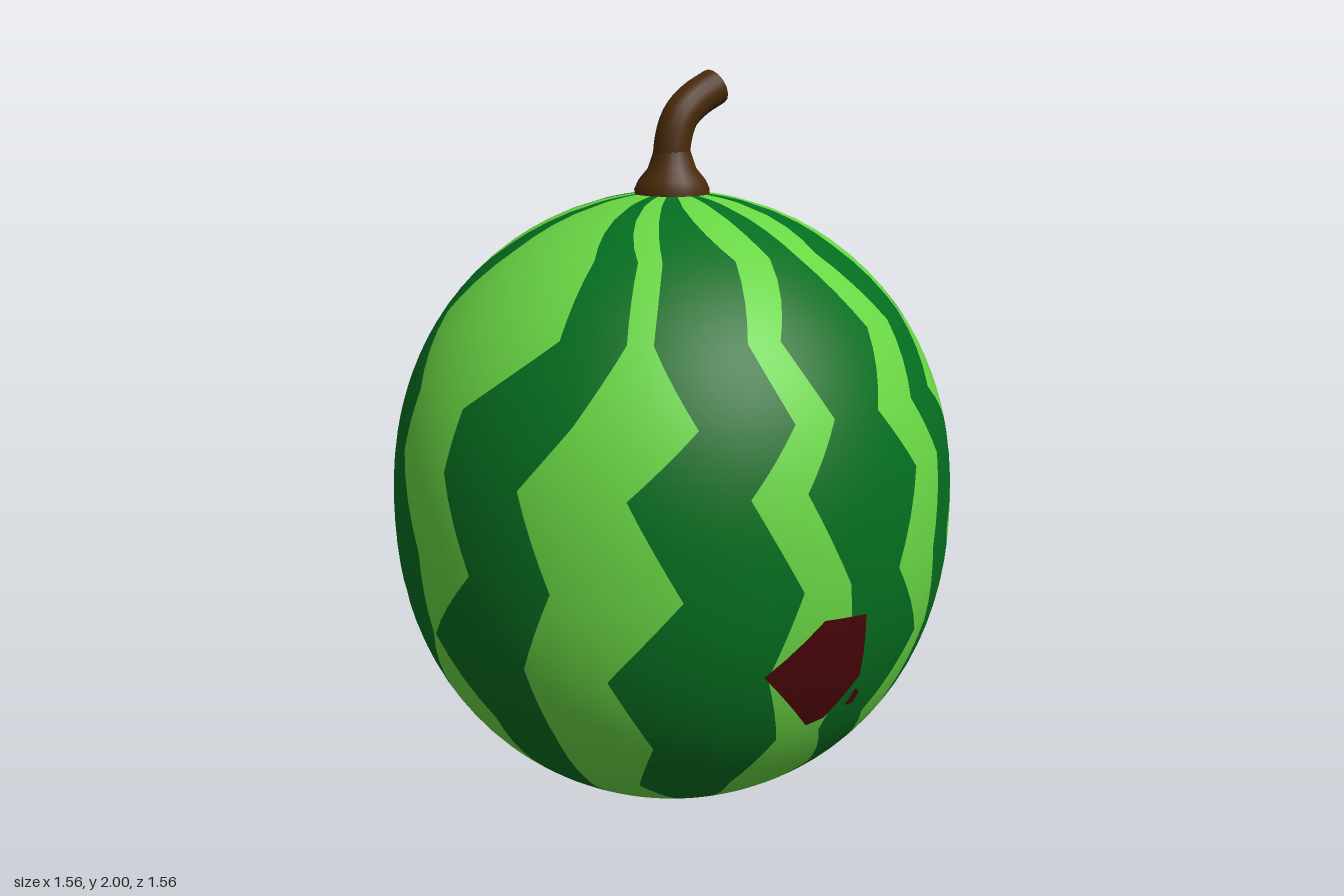
import * as THREE from 'three';
import { mergeGeometries } from 'three/addons/utils/BufferGeometryUtils.js';

// Slightly squared ellipsoid: radius, half height, centre height, squareness
const R = 0.778, H = 0.854, CY = 0.83, P = 2.2;
const radiusAt = (y) => R * Math.sqrt(Math.max(0, 1 - Math.abs((y - CY) / H) ** P));

// Heights of the zigzag corners, from the stem down to the base
const rows = [1.683, 1.66, 1.55, 1.38, 1.2, 1.04, 0.8, 0.58, 0.37, 0.2, 0.09, 0.03];

// Left and right edge of each stripe in degrees around the fruit (0 = front, 90 = +x).
// Five stripes make one half; the other half is the same turned by 180 degrees.
const half = [
  { l: [-8, -8, -4, -13, -5, -13, -4, -2, -4, 4, -2, 3], r: [6, 6, 8, 15, 7, 16, 9, 20, 10, 19, 10, 3] },
  { l: [28, 28, 19, 27, 20, 27, 23, 26, 22, 32, 34, 42], r: [46, 46, 40, 42, 32, 47, 34, 50, 40, 50, 48, 42] },
  { l: [64, 64, 60, 46, 58, 56, 65, 52, 60, 52, 64, 72], r: [74, 74, 74, 65, 76, 75, 85, 86, 78, 68, 78, 72] },
  { l: [108, 108, 116, 116, 96, 94, 102, 87, 99, 98, 102, 110], r: [120, 120, 131, 132, 123, 113, 120, 113, 116, 117, 116, 110] },
  { l: [134, 134, 139, 138, 147, 134, 144, 130, 138, 133, 143, 152], r: [150, 150, 163, 159, 166, 156, 166, 160, 165, 158, 158, 152] },
];
const turn = (s, deg) => ({ l: s.l.map((a) => a + deg), r: s.r.map((a) => a + deg) });
const stripes = [...half, ...half.map((s) => turn(s, 180))];
// One stripe on the +x side stops short of the stem
stripes[2].l.splice(0, 2, 74, 74);

// Point and smooth normal on the rind
function rind(angle, y, lift, pos, nor) {
  const r = radiusAt(y), u = (y - CY) / H;
  const out = 2 * r / R ** 2, up = P * Math.sign(u) * Math.abs(u) ** (P - 1) / H;
  const n = new THREE.Vector3(out * Math.sin(angle), up, out * Math.cos(angle)).normalize();
  pos.push(r * Math.sin(angle) + n.x * lift, y + n.y * lift, r * Math.cos(angle) + n.z * lift);
  nor.push(n.x, n.y, n.z);
}

function surface(pos, nor, index) {
  const g = new THREE.BufferGeometry();
  g.setAttribute('position', new THREE.Float32BufferAttribute(pos, 3));
  g.setAttribute('normal', new THREE.Float32BufferAttribute(nor, 3));
  g.setIndex(index);
  return g;
}

// Band of rind between two zigzag edges
function band(left, right) {
  const pos = [], nor = [], index = [], cols = 6, sub = 4;
  const n = (rows.length - 1) * sub;
  for (let j = 0; j <= n; j++) {
    const k = Math.min(Math.floor(j / sub), rows.length - 2), t = j / sub - k;
    const mix = (a) => THREE.MathUtils.lerp(a[k], a[k + 1], t);
    for (let i = 0; i <= cols; i++) {
      const angle = THREE.MathUtils.lerp(mix(left), mix(right), i / cols);
      rind(THREE.MathUtils.degToRad(angle), mix(rows), 0, pos, nor);
    }
  }
  for (let j = 0; j < n; j++) for (let i = 0; i < cols; i++) {
    const a = j * (cols + 1) + i, c = a + cols + 1;
    index.push(a, c, a + 1, a + 1, c, c + 1);
  }
  return surface(pos, nor, index);
}

// Thin patch that follows the rind; outline in front-view x, y, counterclockwise
function patch(outline, lift) {
  const pos = [], nor = [], index = [], rings = 5;
  const pts = [];
  outline.forEach(([x, y], i) => {
    const [u, v] = outline[(i + 1) % outline.length];
    for (let k = 0; k < 3; k++) pts.push([x + (u - x) * k / 3, y + (v - y) * k / 3]);
  });
  const m = pts.length;
  const cx = pts.reduce((s, p) => s + p[0], 0) / m, cy = pts.reduce((s, p) => s + p[1], 0) / m;
  for (let k = 0; k <= rings; k++) for (const p of pts) {
    const x = cx + (p[0] - cx) * k / rings, y = cy + (p[1] - cy) * k / rings;
    rind(Math.asin(x / radiusAt(y)), y, lift, pos, nor);
  }
  for (let k = 0; k < rings; k++) for (let i = 0; i < m; i++) {
    const a = k * m + i, b = k * m + (i + 1) % m;
    if (k > 0) index.push(a, a + m, b);
    index.push(b, a + m, b + m);
  }
  return surface(pos, nor, index);
}

export function createModel() {
  const material = (name, color) => new THREE.MeshStandardMaterial({ name, color });
  const lightGreen = material('light green', 0x69d644);
  const darkGreen = material('dark green', 0x046e20);
  const red = material('dark red flesh', 0x4a0509);
  const brown = material('stem brown', 0x4a2b09);

  const model = new THREE.Group();
  model.name = 'watermelon';
  const add = (name, geometry, mat, parent = model) => {
    const mesh = new THREE.Mesh(geometry, mat);
    mesh.name = name;
    parent.add(mesh);
    return mesh;
  };

  // Rind: dark stripes with light bands between them
  add('darkStripes', mergeGeometries(stripes.map((s) => band(s.l, s.r))), darkGreen);
  add('lightRind', mergeGeometries(stripes.map((s, i) => {
    const next = i + 1 < stripes.length ? stripes[i + 1] : turn(stripes[0], 360);
    return band(s.r, next.l);
  })), lightGreen);

  // Rounded underside below the stripe tips, and the flat base
  const lower = [];
  for (let i = 0; i <= 3; i++) lower.push(new THREE.Vector2(radiusAt(i * 0.01), i * 0.01));
  add('underside', new THREE.LatheGeometry(lower, 60), lightGreen);
  add('base', new THREE.CircleGeometry(radiusAt(0), 60).rotateX(Math.PI / 2), lightGreen);

  // Exposed flesh on the front, matching dark spot on the back
  const bite = [[-0.27, 0.59], [-0.11, 0.41], [-0.06, 0.42], [0.02, 0.53], [0, 0.71], [-0.13, 0.72]];
  const chip = [[0, 0.44], [0.03, 0.44], [0.04, 0.47], [0.02, 0.49]];
  add('exposedFlesh', patch(bite, 0.006), red);
  add('fleshChip', patch(chip, 0.006), red);
  add('backSpot', patch(bite, 0.006).rotateY(Math.PI), darkGreen);
  add('backChip', patch(chip, 0.006).rotateY(Math.PI), red);

  // Stem: flared foot and a bent stalk with a flat end
  const stem = new THREE.Group();
  stem.name = 'stem';
  model.add(stem);
  const foot = [[0.1, 1.66], [0.102, 1.69], [0.09, 1.715], [0.065, 1.745], [0.05, 1.79]];
  add('stemFoot', new THREE.LatheGeometry(foot.map((p) => new THREE.Vector2(...p)), 20), brown, stem);
  const path = new THREE.CatmullRomCurve3(
    [[0, 1.7], [0, 1.8], [0.025, 1.875], [0.075, 1.92], [0.147, 1.956]].map(([x, y]) => new THREE.Vector3(x, y, 0)));
  add('stalk', new THREE.TubeGeometry(path, 20, 0.05, 16), brown, stem);
  const end = add('stalkEnd', new THREE.CircleGeometry(0.05, 16), brown, stem);
  end.position.copy(path.getPoint(1));
  end.quaternion.setFromUnitVectors(new THREE.Vector3(0, 0, 1), path.getTangent(1));

  return model;
}
